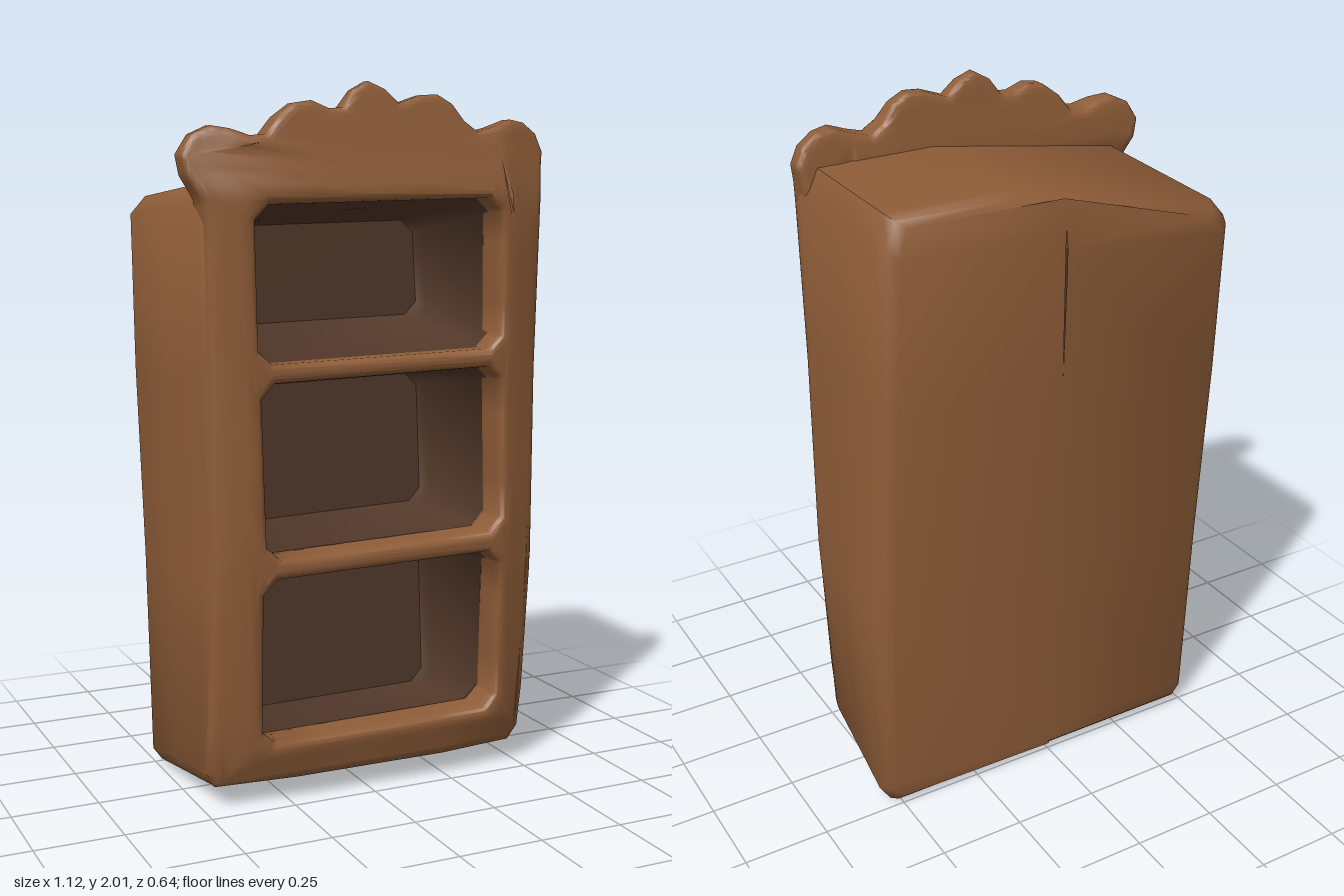
import * as THREE from 'three';
import { toCreasedNormals } from 'three/addons/utils/BufferGeometryUtils.js';

const material = color => new THREE.MeshStandardMaterial({ color, side: THREE.DoubleSide });
const wood = material(0x8f5d38);
const darkWood = material(0x51382a);

// Piecewise linear lookup through [key, value] pairs
function curve(keys, y) {
  if (y <= keys[0][0]) return keys[0][1];
  for (let i = 1; i < keys.length; i++) {
    const [a, va] = keys[i - 1], [b, vb] = keys[i];
    if (y <= b) return va + (vb - va) * (y - a) / (b - a);
  }
  return keys[keys.length - 1][1];
}
const frontZ = y => curve([[0.05, 0.21], [0.16, 0.24], [0.65, 0.285], [1.2, 0.295], [1.7, 0.32], [1.82, 0.29], [2, 0.255]], y);
const backZ = y => curve([[0, -0.258], [0.65, -0.28], [1.65, -0.316], [1.82, -0.29]], y);
const frameDepth = y => curve([[1.75, 0.13], [1.9, 0.075], [2, 0.04]], y);

// Skin between rings of equal point count
function loft(rings, crease) {
  const pos = [], n = rings[0].length;
  for (let i = 0; i + 1 < rings.length; i++) {
    for (let j = 0; j < n; j++) {
      const k = (j + 1) % n;
      const a = rings[i][j], b = rings[i][k], c = rings[i + 1][k], d = rings[i + 1][j];
      if (a !== b) pos.push(...a, ...b, ...c);
      if (c !== d) pos.push(...a, ...c, ...d);
    }
  }
  const g = new THREE.BufferGeometry();
  g.setAttribute('position', new THREE.Float32BufferAttribute(pos, 3));
  return toCreasedNormals(g, crease);
}

// Split every triangle into four
function subdivide(pos) {
  const out = [];
  for (let i = 0; i < pos.length; i += 9) {
    const [a, b, c] = [0, 3, 6].map(k => Array.from(pos.slice(i + k, i + k + 3)));
    const mid = (p, q) => p.map((v, k) => (v + q[k]) / 2);
    const ab = mid(a, b), bc = mid(b, c), ca = mid(c, a);
    out.push(...a, ...ab, ...ca, ...ab, ...b, ...bc, ...ca, ...bc, ...c, ...ab, ...bc, ...ca);
  }
  return out;
}

// Cut the corners of a four-sided opening
function chamfer(corners, r) {
  const out = [];
  corners.forEach((p, i) => {
    for (const q of [corners[(i + 3) % 4], corners[(i + 1) % 4]]) {
      const t = r / Math.hypot(q[0] - p[0], q[1] - p[1]);
      out.push([p[0] + (q[0] - p[0]) * t, p[1] + (q[1] - p[1]) * t]);
    }
  });
  return out;
}

// Compartments, counter-clockwise from lower left
const openings = [
  [[-0.34, 0.175], [0.402, 0.19], [0.385, 0.675], [-0.35, 0.655]],
  [[-0.34, 0.71], [0.39, 0.735], [0.372, 1.215], [-0.358, 1.195]],
  [[-0.365, 1.247], [0.372, 1.267], [0.355, 1.69], [-0.382, 1.67]],
].map(c => chamfer(c, 0.04));

// Frame outline: plain sides, wavy cresting on top
const sideAndBase = [[-0.505, 1.62], [-0.495, 1.2], [-0.49, 0.6], [-0.49, 0.1], [-0.465, 0.055],
  [0.485, 0.055], [0.515, 0.1], [0.515, 0.6], [0.508, 1.2], [0.505, 1.7]];
const crest = [[0.515, 1.77], [0.525, 1.82], [0.505, 1.87], [0.46, 1.9], [0.41, 1.907], [0.35, 1.885], [0.3, 1.872],
  [0.26, 1.9], [0.225, 1.945], [0.18, 1.97], [0.13, 1.967], [0.06, 1.943], [0.02, 1.98], [-0.03, 2], [-0.075, 1.975],
  [-0.11, 1.928], [-0.15, 1.925], [-0.2, 1.945], [-0.25, 1.937], [-0.3, 1.9], [-0.335, 1.855], [-0.38, 1.85],
  [-0.43, 1.867], [-0.48, 1.875], [-0.53, 1.852], [-0.562, 1.8], [-0.55, 1.745], [-0.515, 1.68]];

function frameGeometry() {
  const vec = p => new THREE.Vector2(...p);
  const shape = new THREE.Shape([...sideAndBase, ...crest].map(vec));
  shape.holes = openings.map(o => new THREE.Path(o.map(vec)));
  const b = 0.021;
  const flat = new THREE.ExtrudeGeometry(shape, {
    depth: 0.13 - 2 * b, bevelEnabled: true, bevelSize: b, bevelOffset: -b, bevelThickness: b, bevelSegments: 3,
  });
  const p = new THREE.Float32BufferAttribute(subdivide(subdivide(flat.attributes.position.array)), 3);
  // Lean the face, thin the cresting and round off towards the sides
  for (let i = 0; i < p.count; i++) {
    const x = p.getX(i), y = p.getY(i);
    const t = (p.getZ(i) + b) / 0.13;
    const side = 0.04 * THREE.MathUtils.smoothstep(Math.abs(x), 0.36, 0.55) * t;
    p.setZ(i, frontZ(y) - side - (1 - t) * frameDepth(y));
  }
  const g = new THREE.BufferGeometry();
  g.setAttribute('position', p);
  return toCreasedNormals(g, 1.2);
}

// Carcass behind the frame: wider at the back, its top falling away on one side
function carcassGeometry() {
  const back = [[-0.49, 0.005], [0.53, -0.012], [0.562, 0.04], [0.562, 0.65], [0.538, 1.3], [0.52, 1.74],
    [0.49, 1.82], [0.12, 1.82], [-0.5, 1.69], [-0.542, 1.64], [-0.54, 1.2], [-0.525, 0.65], [-0.515, 0.04]];
  const front = [[-0.46, 0.055], [0.48, 0.055], [0.52, 0.1], [0.52, 0.65], [0.512, 1.3], [0.51, 1.74],
    [0.47, 1.815], [0.12, 1.82], [-0.46, 1.74], [-0.508, 1.68], [-0.5, 1.2], [-0.495, 0.65], [-0.495, 0.1]];
  const ring = (t, inset) => back.map(([x, y], i) => {
    const px = (x + (front[i][0] - x) * t) * (1 - inset);
    const py = 0.9 + (y + (front[i][1] - y) * t - 0.9) * (1 - inset * 0.4);
    const z0 = backZ(py) + 0.016 * px, z1 = frontZ(py) - 0.035;
    return [px, py, z0 + (z1 - z0) * t];
  });
  // The back panel closes on a vertical spine
  const rim = ring(0, 0.08);
  const spine = rim.map(([, y]) => [0, y, backZ(y)]);
  return loft([spine, rim, ring(0.03, 0.035), ring(0.09, 0), ring(0.5, 0), ring(0.9, 0), ring(0.97, 0.01), ring(1, 0.035)], 1);
}

// Recess: walls and back panel, the ceiling sloping down to the rear
function recessGeometry(o, floorRise) {
  const cx = o.reduce((s, p) => s + p[0], 0) / o.length;
  const cy = o.reduce((s, p) => s + p[1], 0) / o.length;
  const ring = (t, scale) => o.map(([x, y]) => {
    const z1 = frontZ(y) - 0.06;
    const shift = y > cy ? -0.06 : floorRise;
    return [cx + (x - cx) * scale, cy + (y - cy) * scale + shift * t, z1 + (-0.21 - z1) * t];
  });
  const centre = [cx, cy + (floorRise - 0.06) / 2, -0.21];
  return loft([ring(0, 1.005), ring(0.9, 1.01), ring(1, 0.97), o.map(() => centre)], 1);
}

export function createModel() {
  const model = new THREE.Group();
  model.name = 'bookcase';
  const add = (name, geometry, mat) => {
    const mesh = new THREE.Mesh(geometry, mat);
    mesh.name = name;
    model.add(mesh);
  };
  add('frontFrameWithCrest', frameGeometry(), wood);
  add('carcass', carcassGeometry(), wood);
  [['lowerShelfRecess', -0.05], ['middleShelfRecess', 0], ['upperShelfRecess', 0.06]].forEach(([name, rise], i) =>
    add(name, recessGeometry(openings[i], rise), darkWood));
  return model;
}
